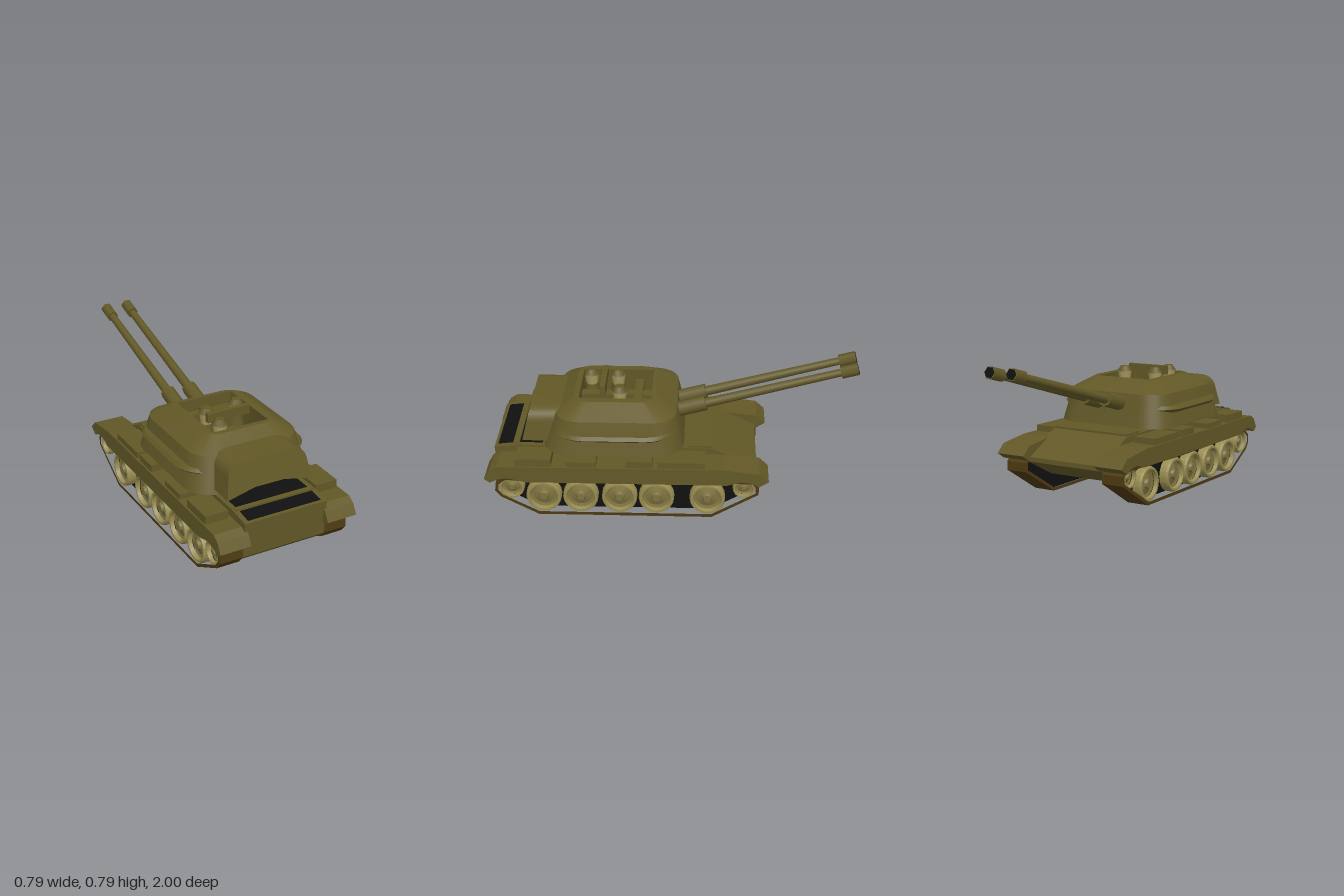
import * as THREE from 'three';
import { toCreasedNormals } from 'three/addons/utils/BufferGeometryUtils.js';

const material = (name, color, side = THREE.FrontSide) => {
  const m = new THREE.MeshStandardMaterial({ color, side });
  m.name = name;
  return m;
};

// Extrudes a (z, y) outline across x0..x1, with an optional hole
function sideExtrude(points, x0, x1, hole) {
  const toVec = ([z, y]) => new THREE.Vector2(-z, y);
  const shape = new THREE.Shape(points.map(toVec));
  if (hole) shape.holes.push(new THREE.Path(hole.map(toVec)));
  const g = new THREE.ExtrudeGeometry(shape, { depth: x1 - x0, bevelEnabled: false });
  return g.rotateY(Math.PI / 2).translate(x0, 0, 0);
}

// Skins rounded rectangles given as [y, halfWidth, zMin, zMax, cornerRadius]
function loft(sections, steps = 6) {
  const pos = [], index = [], n = 4 * (steps + 1);
  for (const [y, hx, z0, z1, r] of sections) {
    const cz = (z0 + z1) / 2, hz = (z1 - z0) / 2;
    for (let c = 0; c < 4; c++) {
      const sx = c === 0 || c === 3 ? 1 : -1, sz = c < 2 ? -1 : 1;
      for (let k = 0; k <= steps; k++) {
        const a = (c + k / steps) * Math.PI / 2;
        pos.push(sx * (hx - r) + r * Math.cos(a), y, cz + sz * (hz - r) - r * Math.sin(a));
      }
    }
  }
  for (let j = 0; j < sections.length - 1; j++) {
    for (let i = 0; i < n; i++) {
      const a = j * n + i, b = j * n + (i + 1) % n;
      index.push(a, b, b + n, a, b + n, a + n);
    }
  }
  const g = new THREE.BufferGeometry();
  g.setAttribute('position', new THREE.Float32BufferAttribute(pos, 3));
  g.setIndex(index);
  return toCreasedNormals(g, 0.5);
}

export function createModel() {
  const model = new THREE.Group();
  model.name = 'twinGunTank';
  const olive = material('olive paint', 0x625827);
  const rimTone = material('pale wheel rim', 0x978b50);
  const discTone = material('wheel disc', 0x7d7240);
  const brown = material('track brown', 0x4e3a12);
  const black = material('black', 0x101010);
  const skin = material('crew tan', 0xab9c62);
  const brass = material('ammunition brown', 0x5e4314);

  const add = (name, geometry, mat, parent = model) => {
    const mesh = new THREE.Mesh(geometry, mat);
    mesh.name = name;
    parent.add(mesh);
    return mesh;
  };
  const box = (name, mat, x0, x1, y0, y1, z0, z1, parent = model) =>
    add(name, new THREE.BoxGeometry(x1 - x0, y1 - y0, z1 - z0)
      .translate((x0 + x1) / 2, (y0 + y1) / 2, (z0 + z1) / 2), mat, parent);

  // Hull with sloped nose, and the engine grilles at its other end
  add('hull', sideExtrude([[0.96, 0.345], [0.95, 0.15], [0.9, 0.105], [-0.25, 0.105], [-0.46, 0.21],
    [-0.46, 0.235], [-0.22, 0.355], [0.84, 0.36]], -0.238, 0.238), olive);
  box('frontDeckPlate', olive, -0.23, 0.23, 0.34, 0.366, -0.22, -0.09);
  box('narrowGrille', black, -0.21, 0.21, 0.355, 0.362, 0.7, 0.825);
  const grille = box('wideGrille', black, -0.21, 0.21, -0.004, 0.004, -0.04, 0.04);
  grille.position.set(0, 0.352, 0.902);
  grille.rotation.x = 0.124;
  box('grilleBar', olive, -0.225, 0.225, 0.35, 0.366, 0.828, 0.855);

  // Running gear, built once per side
  const trackOuter = [[0.72, 0], [0.92, 0.11], [0.95, 0.15], [0.945, 0.195], [0.9, 0.235], [0.8, 0.232],
    [0.1, 0.225], [-0.34, 0.235], [-0.44, 0.235], [-0.47, 0.2], [-0.47, 0.15], [-0.22, 0]];
  const trackInner = [[0.715, 0.018], [0.908, 0.122], [0.932, 0.155], [0.928, 0.19], [0.89, 0.218], [0.8, 0.212],
    [0.1, 0.207], [-0.34, 0.217], [-0.435, 0.217], [-0.453, 0.195], [-0.453, 0.158], [-0.215, 0.018]];
  const fender = [[0.93, 0.315], [0.97, 0.29], [1, 0.238], [0.97, 0.215], [0.92, 0.24], [0.87, 0.245],
    [0.78, 0.222], [-0.3, 0.222], [-0.37, 0.245], [-0.43, 0.238], [-0.47, 0.215], [-0.52, 0.248],
    [-0.47, 0.295], [-0.28, 0.318]];
  const wheels = [[0.69, 0.11, 0.096], [0.49, 0.11, 0.096], [0.28, 0.11, 0.096], [0.08, 0.11, 0.096],
    [-0.195, 0.11, 0.096], [0.86, 0.165, 0.068], [-0.39, 0.182, 0.06]];
  const rimProfile = [[0.78, 0.255], [1, 0.255], [1, 0.355], [0.94, 0.366], [0.82, 0.366], [0.76, 0.345]];
  const discProfile = [[0.8, 0.34], [0.62, 0.335], [0.3, 0.345], [0.22, 0.36], [0, 0.36]];
  const storage = [[0.64, 0.83, 0.36], [0.4, 0.56, 0.345], [0.1, 0.24, 0.355], [-0.18, 0.07, 0.352]];

  for (const side of [1, -1]) {
    const gear = new THREE.Group();
    gear.name = side > 0 ? 'leftRunningGear' : 'rightRunningGear';
    model.add(gear);
    const span = (a, b) => (side > 0 ? [a, b] : [-b, -a]);
    add('track', sideExtrude(trackOuter, ...span(0.243, 0.37), trackInner), brown, gear);
    add('innerPanel', sideExtrude(trackInner, ...span(0.248, 0.315)), black, gear);
    add('fender', sideExtrude(fender, ...span(0.223, 0.395)), olive, gear);
    for (const [z0, z1, top] of storage)
      box('storageBox', olive, ...span(0.257, 0.385), 0.3, top, z0, z1, gear);

    // Road wheels and end wheels
    for (const [z, y, r] of wheels) {
      const lathe = (profile) => toCreasedNormals(new THREE.LatheGeometry(
        profile.map(([k, x]) => new THREE.Vector2(k * r, x)), 20), 0.5)
        .rotateZ(-side * Math.PI / 2).translate(0, y, z);
      add('wheelRim', lathe(rimProfile), rimTone, gear);
      add('wheelDisc', lathe(discProfile), discTone, gear);
    }
  }

  // Open-topped turret: outer wall, roof rim, then inner wall
  const turret = new THREE.Group();
  turret.name = 'turret';
  model.add(turret);
  add('turretRing', new THREE.CylinderGeometry(0.23, 0.23, 0.05, 32).translate(0, 0.36, 0.3), olive, turret);
  add('turretShell', loft([[0.37, 0.3, 0, 0.62, 0.1], [0.37, 0.355, -0.065, 0.69, 0.15],
    [0.55, 0.31, -0.025, 0.625, 0.13], [0.615, 0.205, 0.09, 0.53, 0.08],
    [0.615, 0.163, 0.112, 0.5, 0.004], [0.43, 0.163, 0.112, 0.5, 0.004]]), olive, turret);
  add('sideFlange', loft([[0.45, 0.3, 0.02, 0.6, 0.12], [0.45, 0.345, -0.02, 0.63, 0.16],
    [0.47, 0.37, -0.03, 0.64, 0.17], [0.488, 0.355, -0.02, 0.63, 0.16],
    [0.488, 0.29, 0.02, 0.6, 0.12]]), olive, turret);
  box('turretFloor', black, -0.17, 0.17, 0.43, 0.438, 0.1, 0.51, turret);

  // Rounded storage bustle with a notched lower edge and leaning face
  const b = new THREE.Shape();
  b.moveTo(-0.247, 0.395);
  b.lineTo(0, 0.445);
  b.lineTo(0.247, 0.395);
  b.lineTo(0.23, 0.49);
  b.quadraticCurveTo(0.225, 0.57, 0.14, 0.57);
  b.lineTo(-0.14, 0.57);
  b.quadraticCurveTo(-0.225, 0.57, -0.23, 0.49);
  const bustle = new THREE.ExtrudeGeometry(b, { depth: 0.25, bevelEnabled: false, curveSegments: 8 });
  const p = bustle.attributes.position;
  for (let i = 0; i < p.count; i++) p.setZ(i, p.getZ(i) + 0.555 - (p.getY(i) - 0.395) * 0.25);
  bustle.computeVertexNormals();
  add('bustle', toCreasedNormals(bustle, 0.5), olive, turret);

  // Cockpit framework and ammunition box
  box('centreBeam', olive, -0.032, 0.024, 0.44, 0.56, 0.112, 0.5, turret);
  box('forwardCrossbar', olive, -0.13, 0.13, 0.5, 0.575, 0.165, 0.21, turret);
  box('sightBar', olive, -0.128, 0.12, 0.61, 0.66, 0.362, 0.39, turret);
  box('sightPost', olive, -0.025, 0.02, 0.5, 0.63, 0.365, 0.387, turret);
  box('ammunitionBox', brass, 0.05, 0.145, 0.44, 0.52, 0.39, 0.5, turret);

  // Crew: shoulders, head and helmet
  for (const [x, z] of [[-0.092, 0.305], [0.098, 0.285], [-0.095, 0.452]]) {
    const crew = new THREE.Group();
    crew.name = 'crewMember';
    crew.position.set(x, 0, z);
    turret.add(crew);
    add('shoulders', new THREE.CylinderGeometry(0.035, 0.06, 0.13, 8).translate(0, 0.505, 0), olive, crew);
    add('head', new THREE.CylinderGeometry(0.04, 0.03, 0.07, 8).translate(0, 0.595, 0), skin, crew);
    add('helmet', new THREE.CylinderGeometry(0.024, 0.043, 0.03, 8).translate(0, 0.642, 0), olive, crew);
  }

  // Twin elevated guns, each modelled along its own axis
  for (const x of [-0.07, 0.062]) {
    const gun = new THREE.Group();
    gun.name = 'gun';
    gun.position.set(x, 0.497, -0.03);
    gun.rotation.x = -Math.PI / 2 + 0.27;
    turret.add(gun);
    const tube = (name, rEnd, rStart, from, to, sides, mat) => add(name,
      new THREE.CylinderGeometry(rEnd, rStart, to - from, sides)
        .rotateY(Math.PI / 2).translate(0, (from + to) / 2, 0), mat, gun);
    tube('gunSleeve', 0.042, 0.042, -0.06, 0.155, 8, olive);
    tube('barrel', 0.021, 0.027, 0.1, 0.92, 10, olive);
    tube('muzzle', 0.034, 0.034, 0.9, 0.992, 6, olive);
    tube('muzzleBore', 0.029, 0.029, 0.99, 0.995, 6, black);
  }
  return model;
}
